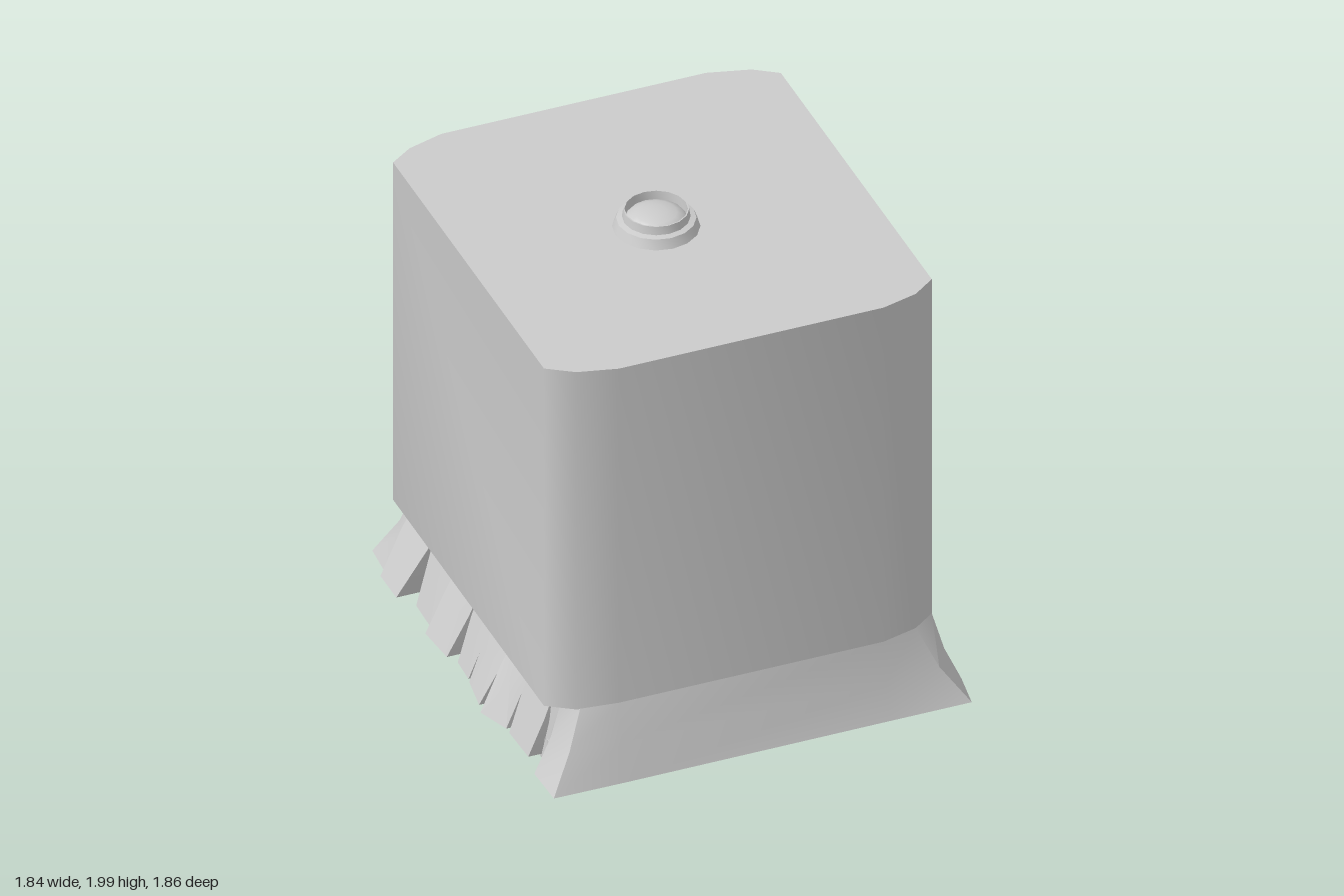
import * as THREE from 'three';
import { toCreasedNormals } from 'three/addons/utils/BufferGeometryUtils.js';

const grey = new THREE.MeshStandardMaterial({ color: 0xcccccc, side: THREE.DoubleSide });

// Closed solid through a list of equally long rings of [x, y, z] points.
function loft(rings, crease = 0.2) {
  const pos = [], n = rings[0].length;
  const tri = (a, b, c) => pos.push(...a, ...b, ...c);
  for (let r = 0; r < rings.length - 1; r++) {
    for (let i = 0; i < n; i++) {
      const j = (i + 1) % n, A = rings[r], B = rings[r + 1];
      tri(A[i], A[j], B[j]);
      tri(A[i], B[j], B[i]);
    }
  }
  const cap = (ring, flip) => {
    const c = [0, 1, 2].map(k => ring.reduce((s, p) => s + p[k], 0) / n);
    ring.forEach((p, i) => {
      const q = ring[(i + 1) % n];
      flip ? tri(c, q, p) : tri(c, p, q);
    });
  };
  cap(rings[0], true);
  cap(rings[rings.length - 1], false);

  // turn all faces outward if the enclosed volume comes out negative
  const a = new THREE.Vector3(), b = new THREE.Vector3(), c = new THREE.Vector3();
  let volume = 0;
  for (let i = 0; i < pos.length; i += 9) {
    a.fromArray(pos, i); b.fromArray(pos, i + 3); c.fromArray(pos, i + 6);
    volume += a.dot(b.cross(c));
  }
  if (volume < 0) {
    for (let i = 0; i < pos.length; i += 9) {
      const q = pos.slice(i + 3, i + 6);
      for (let k = 0; k < 3; k++) { pos[i + 3 + k] = pos[i + 6 + k]; pos[i + 6 + k] = q[k]; }
    }
  }
  const g = new THREE.BufferGeometry();
  g.setAttribute('position', new THREE.Float32BufferAttribute(pos, 3));
  return toCreasedNormals(g, crease);
}

export function createModel() {
  const model = new THREE.Group();
  const add = (name, geometry, parent = model) => {
    const mesh = new THREE.Mesh(geometry, grey);
    mesh.name = name;
    parent.add(mesh);
    return mesh;
  };

  // Main block with softened vertical corners
  const outline = [
    [0.765, 0.74], [0.67, 0.81], [0.52, 0.85], [-0.58, 0.85], [-0.74, 0.81], [-0.845, 0.74],
    [-0.845, -0.785], [-0.75, -0.85], [-0.6, -0.895], [0.5, -0.895], [0.67, -0.85], [0.765, -0.785],
  ];
  add('body', loft([0.355, 1.92].map(y => outline.map(([x, z]) => [x, y, z])), 1.05));

  // Flared skirt: rounded at the top, square at the foot, hollow underneath
  const skirtTop = [
    [0.765, 0.70], [0.765, 0.74], [0.67, 0.81], [0.52, 0.85],
    [-0.58, 0.85], [-0.72, 0.81], [-0.77, 0.74], [-0.77, 0.68],
    [-0.77, -0.74], [-0.77, -0.77], [-0.72, -0.82], [-0.6, -0.845],
    [0.5, -0.845], [0.67, -0.82], [0.765, -0.785], [0.765, -0.76],
  ];
  const skirtFoot = [
    [0.79, 0.70], [0.88, 0.76], [0.855, 0.925], [0.52, 0.925],
    [-0.58, 0.928], [-0.88, 0.925], [-0.885, 0.74], [-0.81, 0.68],
    [-0.81, -0.74], [-0.89, -0.77], [-0.88, -0.91], [-0.6, -0.91],
    [0.5, -0.91], [0.855, -0.91], [0.87, -0.77], [0.79, -0.74],
  ];
  // t runs from top to foot; the flare opens faster near the foot
  const skirtRing = (y, t) => skirtTop.map(([x, z], i) =>
    [x + (skirtFoot[i][0] - x) * t, y, z + (skirtFoot[i][1] - z) * t]);
  const scaled = (s, y) => skirtFoot.map(([x, z]) => [x * s, y, z * s]);
  add('skirt', loft([
    skirtRing(0.37, 0), skirtRing(0.2, 0.42), skirtRing(0.05, 1), scaled(0.95, 0.05), scaled(0.92, 0.11),
  ], 0.6));

  // Raised centre panel on the back of the skirt
  const panel = (y, z, a, b) => [[a, y, z], [b, y, z], [b, y, z + 0.06], [a, y, z + 0.06]];
  add('backPanel', loft([panel(0.355, -0.855, -0.24, 0.3), panel(0.05, -0.93, -0.28, 0.35)]));

  // Splintered teeth on both sides: [z0, z1, reach at z0, reach at z1]
  const teeth = {
    right: [
      [-0.73, -0.52, 0.88, 0.905], [-0.49, -0.31, 0.86, 0.85], [-0.19, 0.0, 0.875, 0.915],
      [0.08, 0.24, 0.895, 0.86], [0.26, 0.41, 0.885, 0.87], [0.46, 0.68, 0.81, 0.86],
    ],
    left: [
      [-0.73, -0.57, 0.92, 0.92], [-0.49, -0.31, 0.87, 0.875], [-0.3, -0.12, 0.91, 0.895],
      [-0.07, 0.05, 0.87, 0.875], [0.07, 0.23, 0.88, 0.905], [0.28, 0.42, 0.92, 0.87],
      [0.45, 0.63, 0.87, 0.865],
    ],
  };
  for (const [side, list] of Object.entries(teeth)) {
    const s = side === 'right' ? 1 : -1;
    const group = new THREE.Group();
    group.name = side === 'right' ? 'teethPositiveX' : 'teethNegativeX';
    model.add(group);
    list.forEach(([z0, z1, r0, r1], i) => {
      // each tooth widens upward to meet its neighbours at the notch peaks
      const before = i ? (list[i - 1][1] + z0) / 2 : z0 - 0.02;
      const after = i < list.length - 1 ? (z1 + list[i + 1][0]) / 2 : z1 + 0.02;
      const peak = gap => Math.min(0.35, 0.18 + Math.abs(gap) * 2.4);
      const h0 = peak(z0 - before), h1 = peak(after - z1);
      const start = s > 0 ? 0.765 : 0.76;
      const profile = [
        [before, 0.36, 0], [before, h0, r0], [z0, 0.055, r0],
        [z1, 0.055, r1], [after, h1, r1], [after, 0.36, 0],
      ];
      const outer = profile.map(([z, y, r]) => {
        const t = (0.36 - y) / 0.305;
        return [s * (start + (r - start) * t), y, z];
      });
      const inner = profile.map(([z, y]) => [s * 0.6, y, z]);
      add('tooth', loft([inner, outer]), group);
    });
  }

  // Staggered planks under the foot, running across the width
  const underside = new THREE.Group();
  underside.name = 'undersidePlanks';
  model.add(underside);
  let seed = 7;
  const rand = () => (seed = (seed * 16807) % 2147483647) / 2147483647;
  const edges = [-0.85, -0.73, -0.51, -0.3, -0.1, 0.06, 0.25, 0.43, 0.65, 0.86];
  for (let i = 0; i < edges.length - 1; i++) {
    let x = -0.8;
    while (x < 0.78) {
      const end = Math.min(0.78, x + 0.35 + rand() * 0.5);
      const low = i >= 7 ? 0.005 + rand() * 0.03 : 0.045 + rand() * 0.05;
      const depth = edges[i + 1] - edges[i] - 0.02;
      const plank = add('plank', new THREE.BoxGeometry(end - x, 0.14 - low, depth), underside);
      plank.position.set((x + end) / 2, (0.14 + low) / 2, (edges[i] + edges[i + 1]) / 2);
      x = end;
    }
  }

  // Collar with a small dome seated inside its rim
  const lathe = pts => toCreasedNormals(
    new THREE.LatheGeometry(pts.map(p => new THREE.Vector2(...p)), 16), 0.6);
  const knob = new THREE.Group();
  knob.name = 'knob';
  knob.position.set(-0.075, 1.92, 0);
  model.add(knob);
  add('collar', lathe([[0.17, 0], [0.155, 0.04], [0.132, 0.045], [0.127, 0.08], [0.122, 0.08], [0.12, 0.03]]), knob);
  add('dome', lathe([[0.125, 0.03], [0.11, 0.05], [0.08, 0.064], [0.04, 0.071], [0, 0.073]]), knob);

  return model;
}
